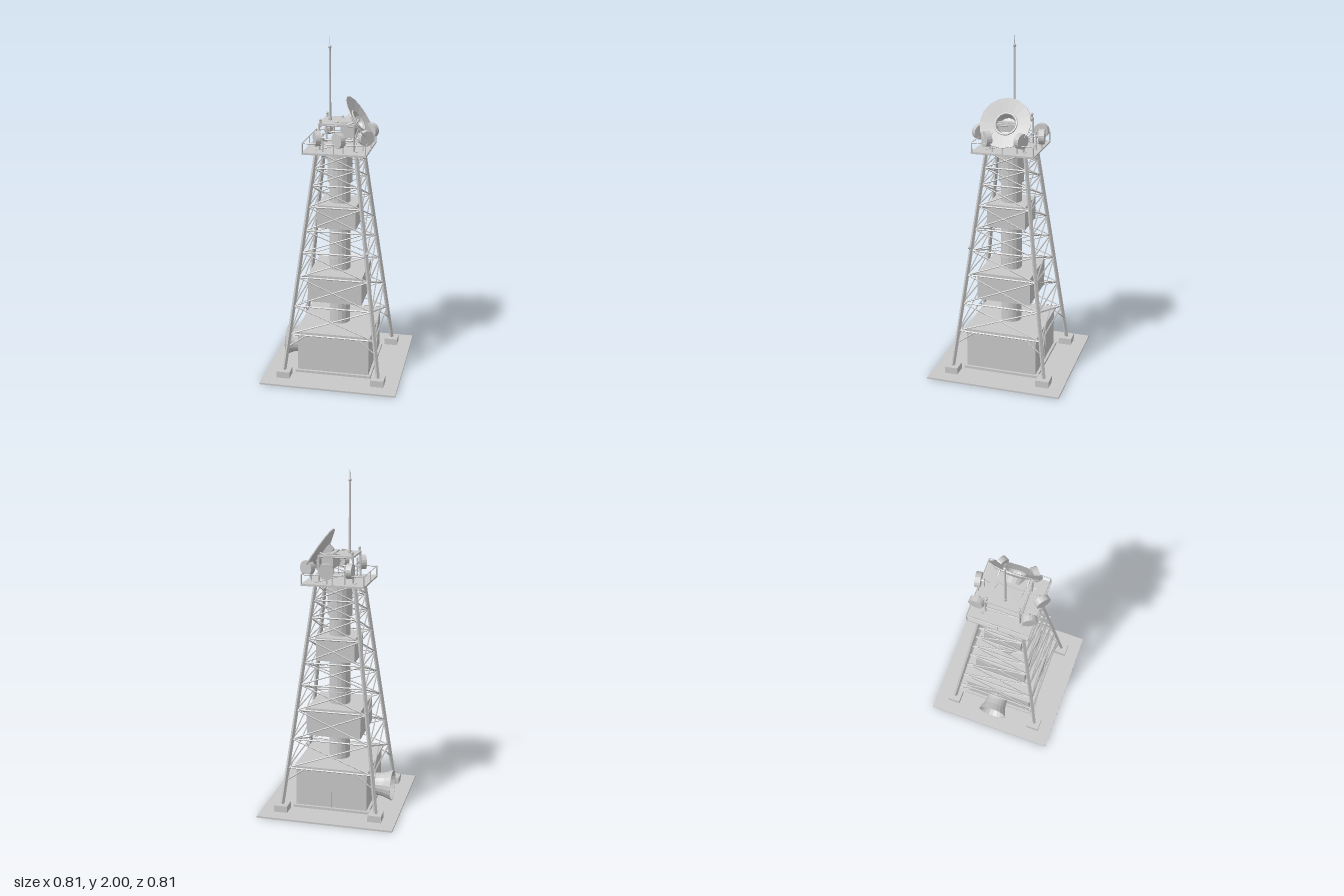
import * as THREE from 'three';

const V = (x, y, z) => new THREE.Vector3(x, y, z);
const UP = V(0, 1, 0);

export function createModel() {
  const root = new THREE.Group();
  root.name = 'latticeTower';
  const steel = new THREE.MeshStandardMaterial({ color: 0xc8c8c8, flatShading: true, side: THREE.DoubleSide });
  steel.name = 'steelGrey';

  const add = (name, geo, x = 0, y = 0, z = 0, parent = root) => {
    const m = new THREE.Mesh(geo, steel);
    m.name = name;
    m.position.set(x, y, z);
    parent.add(m);
    return m;
  };
  // box given by its bottom and top heights
  const slab = (name, w, d, y0, y1, x = 0, z = 0) =>
    add(name, new THREE.BoxGeometry(w, y1 - y0, d), x, (y0 + y1) / 2, z);
  // straight bar between two points
  const bar = (name, a, b, r, sides = 4, parent = root) => {
    const geo = new THREE.CylinderGeometry(r, r, a.distanceTo(b), sides);
    const m = add(name, geo, 0, 0, 0, parent);
    m.position.copy(a).lerp(b, 0.5);
    m.quaternion.setFromUnitVectors(UP, b.clone().sub(a).normalize());
    return m;
  };
  const corners = [[1, 1], [1, -1], [-1, -1], [-1, 1]];
  const legX = (y) => 0.283 - (y - 0.05) * 0.128;
  const legPoint = ([sx, sz], y, inset = 0) => V(sx * (legX(y) - inset), y, sz * (legX(y) - inset));

  // ground plate and equipment house
  slab('basePlate', 0.81, 0.81, 0, 0.01);
  slab('housePlinth', 0.46, 0.46, 0.01, 0.025);
  slab('house', 0.43, 0.43, 0.025, 0.262);
  slab('houseRoof', 0.45, 0.45, 0.262, 0.274);
  for (const s of [-1, 1]) {
    slab('wallSeam', 0.006, 0.004, 0.025, 0.262, 0, s * 0.216);
    slab('wallSeam', 0.004, 0.006, 0.025, 0.262, s * 0.216, 0);
  }

  // flared horn on the side of the house
  const horn = add('intakeHorn', new THREE.LatheGeometry([
    new THREE.Vector2(0.068, 0), new THREE.Vector2(0.068, 0.035),
    new THREE.Vector2(0.075, 0.07), new THREE.Vector2(0.093, 0.115),
    new THREE.Vector2(0.088, 0.115), new THREE.Vector2(0.066, 0.05)], 20), -0.215, 0.11, 0);
  horn.rotation.z = Math.PI / 2;

  // footings and tapering legs
  for (const c of corners) {
    slab('footing', 0.08, 0.08, 0.01, 0.05, c[0] * 0.283, c[1] * 0.283);
    bar('leg', legPoint(c, 0.04), legPoint(c, 1.37), 0.0125);
  }

  // horizontal rings and crossed braces on all four faces
  const levels = [0.27, 0.445, 0.62, 0.77, 0.9, 1.04, 1.165, 1.265, 1.36];
  corners.forEach((c, i) => {
    const d = corners[(i + 1) % 4];
    levels.forEach((y, k) => {
      bar('ringBeam', legPoint(c, y), legPoint(d, y), 0.005);
      if (k === levels.length - 1) return;
      const y2 = levels[k + 1];
      bar('crossBrace', legPoint(c, y), legPoint(d, y2), 0.004);
      bar('crossBrace', legPoint(d, y), legPoint(c, y2), 0.004);
    });
    // knee braces below the first ring
    for (const [p, q] of [[c, d], [d, c]]) {
      const top = legPoint(p, 0.27).lerp(legPoint(q, 0.27), 0.2);
      bar('kneeBrace', legPoint(p, 0.19), top, 0.004);
    }
  });

  // central shaft and the two enclosed cabins
  add('centralShaft', new THREE.CylinderGeometry(0.063, 0.063, 1.09, 16), 0, 0.815, 0);
  add('shaftCollar', new THREE.CylinderGeometry(0.07, 0.07, 0.012, 16), 0, 0.69, 0);
  add('upperShaft', new THREE.CylinderGeometry(0.074, 0.074, 0.2, 16), 0, 1.26, 0);
  slab('lowerCabin', 0.325, 0.325, 0.45, 0.62);
  slab('upperCabin', 0.23, 0.23, 0.9, 1.04);

  // warning lamp on one leg
  add('legLamp', new THREE.SphereGeometry(0.011, 8, 6), 0.197, 0.79, 0.197);

  // deck with railing
  slab('deck', 0.37, 0.37, 1.357, 1.368);
  corners.forEach((c, i) => {
    const d = corners[(i + 1) % 4];
    const p = (k, y) => V(k[0] * 0.181, y, k[1] * 0.181);
    bar('railPost', p(c, 1.36), p(c, 1.422), 0.004);
    bar('handRail', p(c, 1.422), p(d, 1.422), 0.0035);
    bar('midPost', p(c, 1.36).lerp(p(d, 1.36), 0.5), p(c, 1.422).lerp(p(d, 1.422), 0.5), 0.003);
    // upper frame standing on the deck
    const f = (k, y) => V(k[0] * 0.1, y, k[1] * 0.1);
    bar('framePost', f(c, 1.36), f(c, 1.52), 0.006, 6);
    for (const y of [1.43, 1.512]) bar('frameBeam', f(c, y), f(d, y), 0.004);
    bar('frameBrace', f(c, 1.37), f(d, 1.43), 0.003);
  });
  slab('topPlate', 0.21, 0.21, 1.515, 1.523);

  // small fittings on the top plate
  for (const s of [-1, 1]) {
    bar('cornerPole', V(-0.095, 1.5, s * 0.095), V(-0.095, 1.54, s * 0.095), 0.006, 8);
    add('cornerLight', new THREE.SphereGeometry(0.009, 8, 6), -0.095, 1.542, s * 0.095);
    const cone = add('smallHorn', new THREE.ConeGeometry(0.007, 0.035, 8), -0.01, 1.53, s * 0.075);
    cone.rotation.z = Math.PI / 2;
  }

  // antenna mast
  add('mastFoot', new THREE.CylinderGeometry(0.011, 0.011, 0.02, 10), -0.058, 1.53, 0);
  add('mast', new THREE.CylinderGeometry(0.005, 0.0075, 0.42, 10), -0.058, 1.73, 0);
  add('mastBall', new THREE.SphereGeometry(0.01, 10, 8), -0.058, 1.942, 0);
  add('mastNeedle', new THREE.CylinderGeometry(0.0015, 0.002, 0.06, 6), -0.058, 1.97, 0);

  // ring of drum aerials: x, z, and facing direction
  const drums = [
    [-0.097, -0.152, -1, -0.05], [0.032, -0.19, -0.15, -1], [0.165, -0.105, 0.45, -0.89],
    [0.168, 0.095, 0.65, 0.75], [-0.1, 0.155, -0.9, 0.42], [0.028, 0.183, -0.64, 0.77]];
  for (const [x, z, dx, dz] of drums) {
    const dir = V(dx, 0, dz).normalize();
    const drum = new THREE.Group();
    drum.name = 'drumAerial';
    drum.position.set(x, 1.448, z);
    drum.quaternion.setFromUnitVectors(UP, dir);
    root.add(drum);
    add('drumBody', new THREE.CylinderGeometry(0.044, 0.044, 0.033, 18), 0, 0, 0, drum);
    add('drumHub', new THREE.CylinderGeometry(0.008, 0.012, 0.02, 8), 0, -0.025, 0, drum);
    const back = V(x, 1.448, z).addScaledVector(dir, -0.032);
    bar('drumPole', V(back.x, 1.36, back.z), V(back.x, 1.475, back.z), 0.004, 6);
    bar('drumArm', back, V(THREE.MathUtils.clamp(back.x, -0.1, 0.1), 1.43,
      THREE.MathUtils.clamp(back.z, -0.1, 0.1)), 0.003);
  }

  // large tilted dish with deep hub
  const dish = new THREE.Group();
  dish.name = 'largeDish';
  dish.position.set(0.122, 1.535, 0);
  dish.quaternion.setFromUnitVectors(UP, V(0.84, 0.54, 0).normalize());
  root.add(dish);
  const P = (x, y) => new THREE.Vector2(x, y);
  add('dishShell', new THREE.LatheGeometry([
    P(0, -0.06), P(0.05, -0.06), P(0.06, -0.02), P(0.15, 0.002),
    P(0.15, -0.004), P(0.066, -0.03), P(0.056, -0.068), P(0, -0.068)], 16), 0, 0, 0, dish);
  const rim = add('hubRing', new THREE.TorusGeometry(0.063, 0.006, 6, 20), 0, -0.016, 0, dish);
  rim.rotation.x = Math.PI / 2;
  for (const s of [-1, 1]) {
    bar('dishStrut', V(0.05, 1.515, s * 0.085), V(0.1, 1.535, s * 0.085), 0.006, 6);
    bar('dishStrut', V(0.1, 1.43, s * 0.07), V(0.12, 1.49, s * 0.07), 0.005, 6);
  }
  slab('dishMount', 0.07, 0.16, 1.44, 1.53, 0.055, 0);

  return root;
}
